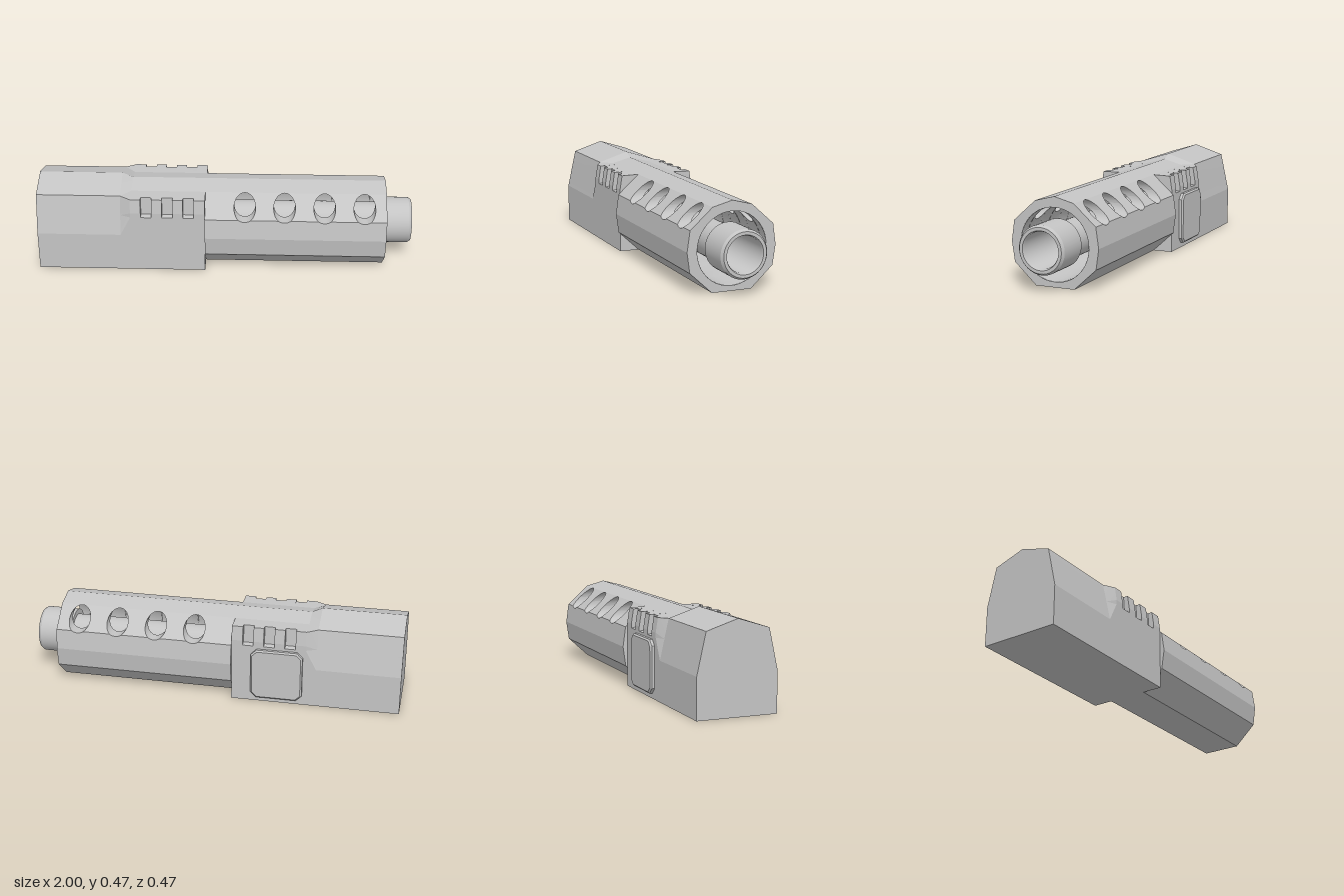
import * as THREE from 'three';
import { mergeGeometries, toCreasedNormals } from 'three/addons/utils/BufferGeometryUtils.js';

const AXIS_Y = 0.212, BORE = 0.185;
const HOLE_Y = 0.365, HOLE_R = 0.0575, HOLES = [0.105, 0.315, 0.527, 0.738];
const SHROUD_BACK = -0.105, SHROUD_FRONT = 0.855;

// Half outline of the shroud as [z, y], from bottom to ridge
const SHROUD = [[0, 0], [0.105, 0], [0.222, 0.108], [0.237, AXIS_Y], [0.222, 0.318], [0.105, 0.423], [0, 0.45]];

// Skin over rows of [x, y, z] points, with its mirror image across z
function mirroredSkin(rows, crease, inward = false) {
  const pos = [];
  for (const s of [1, -1]) {
    const flip = (s < 0) !== inward;
    for (let i = 0; i + 1 < rows.length; i++) {
      for (let j = 0; j + 1 < rows[i].length; j++) {
        const a = rows[i][j], b = rows[i + 1][j], c = rows[i + 1][j + 1], d = rows[i][j + 1];
        const order = flip ? [a, c, b, a, d, c] : [a, b, c, a, c, d];
        for (const p of order) pos.push(p[0], p[1], p[2] * s);
      }
    }
  }
  const g = new THREE.BufferGeometry();
  g.setAttribute('position', new THREE.Float32BufferAttribute(pos, 3));
  return toCreasedNormals(g, crease);
}

// Flat end face across x, optionally pierced by the bore
function endFace(half, x, facing, bored) {
  const pts = [...half, ...half.slice(1, -1).reverse().map(([z, y]) => [-z, y])];
  const shape = new THREE.Shape(pts.filter(p => p).map(([z, y]) => new THREE.Vector2(z, y)));
  if (bored) shape.holes.push(new THREE.Path().absarc(0, AXIS_Y, BORE, 0, Math.PI * 2, true));
  return new THREE.ShapeGeometry(shape, 24).rotateY(facing * Math.PI / 2).translate(x, 0, 0);
}

// Outer and bore half-widths at a given height
function outerZ(y) {
  for (let i = 1; i + 1 < SHROUD.length; i++) {
    const [z0, y0] = SHROUD[i], [z1, y1] = SHROUD[i + 1];
    if (y <= y1) return z0 + (z1 - z0) * (y - y0) / (y1 - y0);
  }
  return 0;
}
const boreZ = y => Math.sqrt(Math.max(0, BORE ** 2 - (y - AXIS_Y) ** 2));

function buildShroud() {
  // Stations along x, each with the half height of the cross hole there
  const stations = [[SHROUD_BACK, 0]], walls = [];
  for (const cx of HOLES) {
    const ring = [];
    for (let k = 0; k <= 16; k++) {
      const a = Math.PI * (1 - k / 16);
      ring.push([cx + HOLE_R * Math.cos(a), HOLE_R * Math.sin(a)]);
    }
    stations.push(...ring);
    // Lining between the outside and the bore
    const edge = sign => ring.map(([x, h]) => {
      const y = HOLE_Y + sign * h;
      return [[x, y, boreZ(y)], [x, y, outerZ(y)]];
    });
    walls.push(mirroredSkin(edge(1), 0.5), mirroredSkin(edge(-1), 0.5, true));
  }
  stations.push([SHROUD_FRONT, 0]);

  const N = 12;
  const arc = (x, a0, a1) => Array.from({ length: N + 1 }, (_, j) => {
    const a = a0 + (a1 - a0) * j / N;
    return [x, AXIS_Y + BORE * Math.sin(a), BORE * Math.cos(a)];
  });
  const angle = y => Math.asin(Math.min(1, (y - AXIS_Y) / BORE));
  const lowOut = [], highOut = [], lowBore = [], highBore = [];
  for (const [x, h] of stations) {
    const lo = HOLE_Y - h, hi = HOLE_Y + h;
    const low = SHROUD.slice(0, 4).map(([z, y]) => [x, y, z]);
    const mid = Math.min(lo, 0.318);
    low.push([x, mid, outerZ(mid)], [x, lo, outerZ(lo)]);
    lowOut.push(low);
    highOut.push([[x, hi, outerZ(hi)], [x, 0.423, 0.105], [x, 0.45, 0]]);
    lowBore.push(arc(x, -Math.PI / 2, angle(lo)));
    highBore.push(arc(x, angle(hi), Math.PI / 2));
  }
  return {
    shell: [mirroredSkin(lowOut, 0.1), mirroredSkin(highOut, 0.1)],
    bore: [mirroredSkin(lowBore, 0.5, true), mirroredSkin(highBore, 0.5, true)],
    walls,
    ends: [endFace(SHROUD, SHROUD_FRONT, 1, true), endFace(SHROUD, SHROUD_BACK, -1, true)],
  };
}

function buildReceiver() {
  // Half sections as [z, y]: peaked rear, broader front, front with a grip notch
  const rear = [[0, 0], [0.212, 0], [0.212, 0.212], [0.188, 0.32], [0.186, 0.33], [0.165, 0.423], [0.105, 0.442], [0, 0.475]];
  const front = [[0, 0], [0.212, 0], [0.212, 0.22], [0.212, 0.32], [0.212, 0.345], [0.2, 0.421], [0.105, 0.423], [0, 0.45]];
  const notch = front.map(p => [...p]);
  notch[4] = [0.182, 0.325];
  notch[5] = [0.175, 0.421];
  const list = [[-1, rear], [-0.555, rear], [-0.5, front]];
  for (const x of [-0.445, -0.333, -0.221]) {
    list.push([x, front], [x, notch], [x + 0.057, notch], [x + 0.057, front]);
  }
  list.push([SHROUD_BACK, front]);
  const rows = list.map(([x, sec]) => sec.map(([z, y]) => [x, y, z]));
  return [mirroredSkin(rows, 0.1), endFace(rear, -1, -1, false), endFace(front, SHROUD_BACK, 1, true)];
}

export function createModel() {
  const model = new THREE.Group();
  const grey = new THREE.MeshStandardMaterial({ color: 0xc4c4c4, side: THREE.DoubleSide });
  grey.name = 'lightGrey';
  const add = (name, parts) => {
    const clean = parts.map(p => {
      const g = p.index ? p.toNonIndexed() : p;
      g.deleteAttribute('uv');
      return g;
    });
    const mesh = new THREE.Mesh(mergeGeometries(clean), grey);
    mesh.name = name;
    model.add(mesh);
  };

  // Perforated shroud
  const shroud = buildShroud();
  add('shroudShell', shroud.shell);
  add('shroudBore', shroud.bore);
  add('shroudHoleLinings', shroud.walls);
  add('shroudEnds', shroud.ends);

  // Receiver with grip notches and its closed bore
  add('receiver', buildReceiver());
  const boreEnd = -0.6, len = SHROUD_BACK - boreEnd;
  add('receiverBore', [
    new THREE.CylinderGeometry(BORE, BORE, len, 48, 1, true).rotateZ(-Math.PI / 2)
      .translate(boreEnd + len / 2, AXIS_Y, 0),
    new THREE.CircleGeometry(BORE, 48).rotateY(Math.PI / 2).translate(boreEnd, AXIS_Y, 0),
  ]);

  // Barrel tube with a thicker chamfered muzzle
  const profile = [[0.091, -0.2], [0.095, -0.2], [0.095, 0.81], [0.123, 0.81], [0.123, 0.985], [0.113, 1], [0.097, 1], [0.091, 0.985], [0.091, -0.2]];
  const barrel = new THREE.LatheGeometry(profile.map(([r, x]) => new THREE.Vector2(r, x)), 48);
  add('barrel', [toCreasedNormals(barrel.rotateZ(-Math.PI / 2).translate(0, AXIS_Y, 0), 0.5)]);

  // Side block with clipped corners on the back
  const x0 = -0.485, x1 = -0.21, y0 = 0.027, y1 = 0.305, c = 0.03, b = 0.008;
  const outline = [[x0 + c, y0], [x1 - c, y0], [x1, y0 + c], [x1, y1 - c], [x1 - c, y1], [x0 + c, y1], [x0, y1 - c], [x0, y0 + c]];
  const plate = new THREE.ExtrudeGeometry(new THREE.Shape(outline.map(p => new THREE.Vector2(...p))), {
    depth: 0.217 - 2 * b, bevelEnabled: true, bevelThickness: b, bevelSize: b, bevelOffset: -b, bevelSegments: 1,
  });
  add('sidePlate', [plate.translate(0, 0, -0.235 + b)]);

  return model;
}
